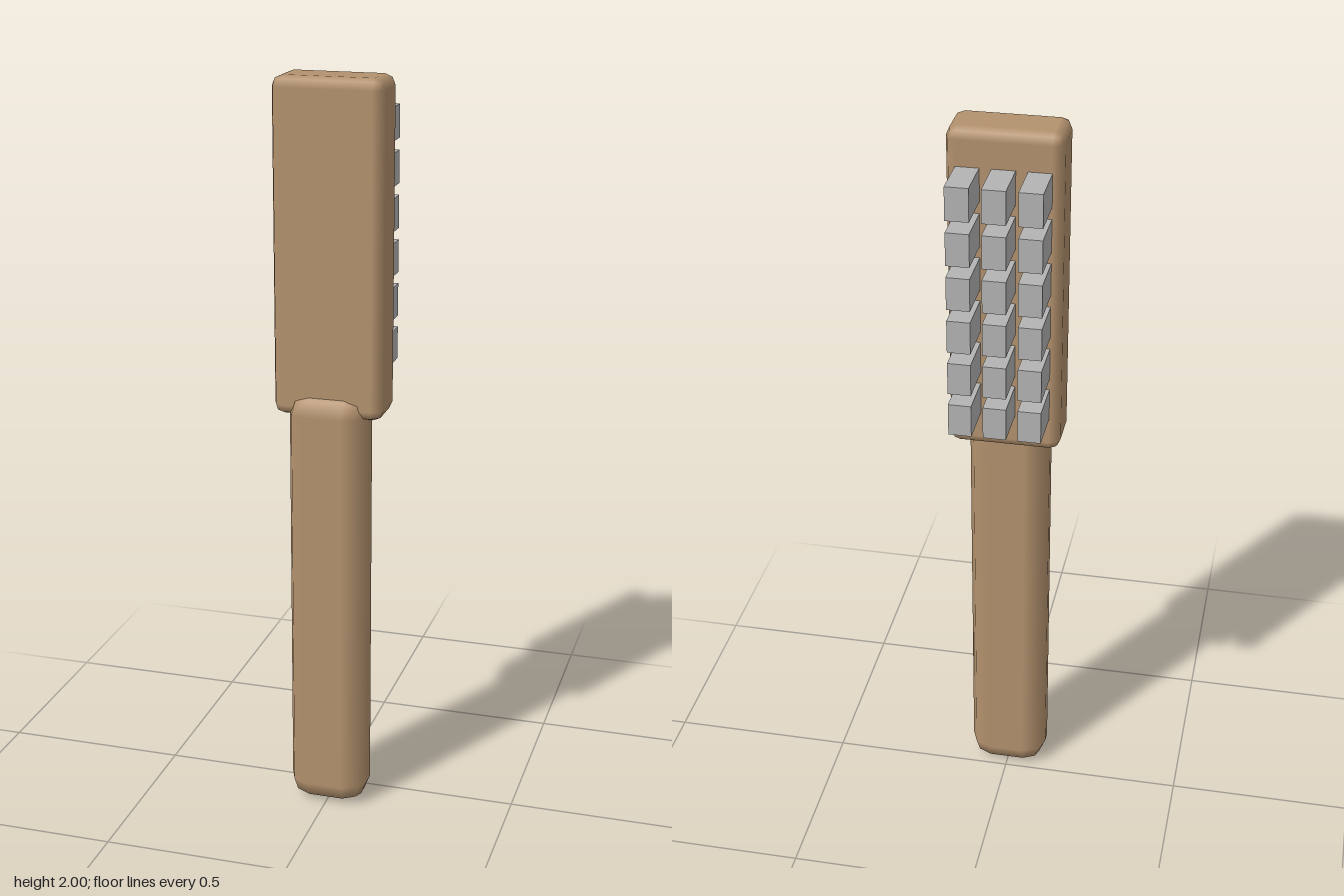
import * as THREE from 'three';
import { RoundedBoxGeometry } from 'three/addons/geometries/RoundedBoxGeometry.js';

export function createModel() {
  const model = new THREE.Group();
  model.name = 'brush';
  const wood = new THREE.MeshStandardMaterial({ name: 'wood', color: 0xb4926e });
  const steel = new THREE.MeshStandardMaterial({ name: 'steel', color: 0xb4b4b4 });

  const add = (name, geometry, material, x, y, z, parent = model) => {
    const mesh = new THREE.Mesh(geometry, material);
    mesh.name = name;
    mesh.position.set(x, y, z);
    parent.add(mesh);
    return mesh;
  };

  // Handle: long bar with wide rounded edges, overlapping the head
  add('handle', new RoundedBoxGeometry(0.216, 1.187, 0.15, 1, 0.06), wood, 0, 0.5935, 0.075);

  // Head: flat block with small rounded edges
  add('head', new RoundedBoxGeometry(0.294, 0.88, 0.148, 1, 0.028), wood, 0, 1.56, 0.046);

  // Bristles: three columns of six square tufts on the back
  const bristles = new THREE.Group();
  bristles.name = 'bristles';
  model.add(bristles);
  const tuft = new THREE.BoxGeometry(0.06, 0.088, 0.142);
  for (let column = -1; column <= 1; column++) {
    for (let row = 0; row < 6; row++) {
      add('bristle', tuft, steel, column * 0.09, 1.264 + row * 0.119, -0.081, bristles);
    }
  }
  return model;
}
